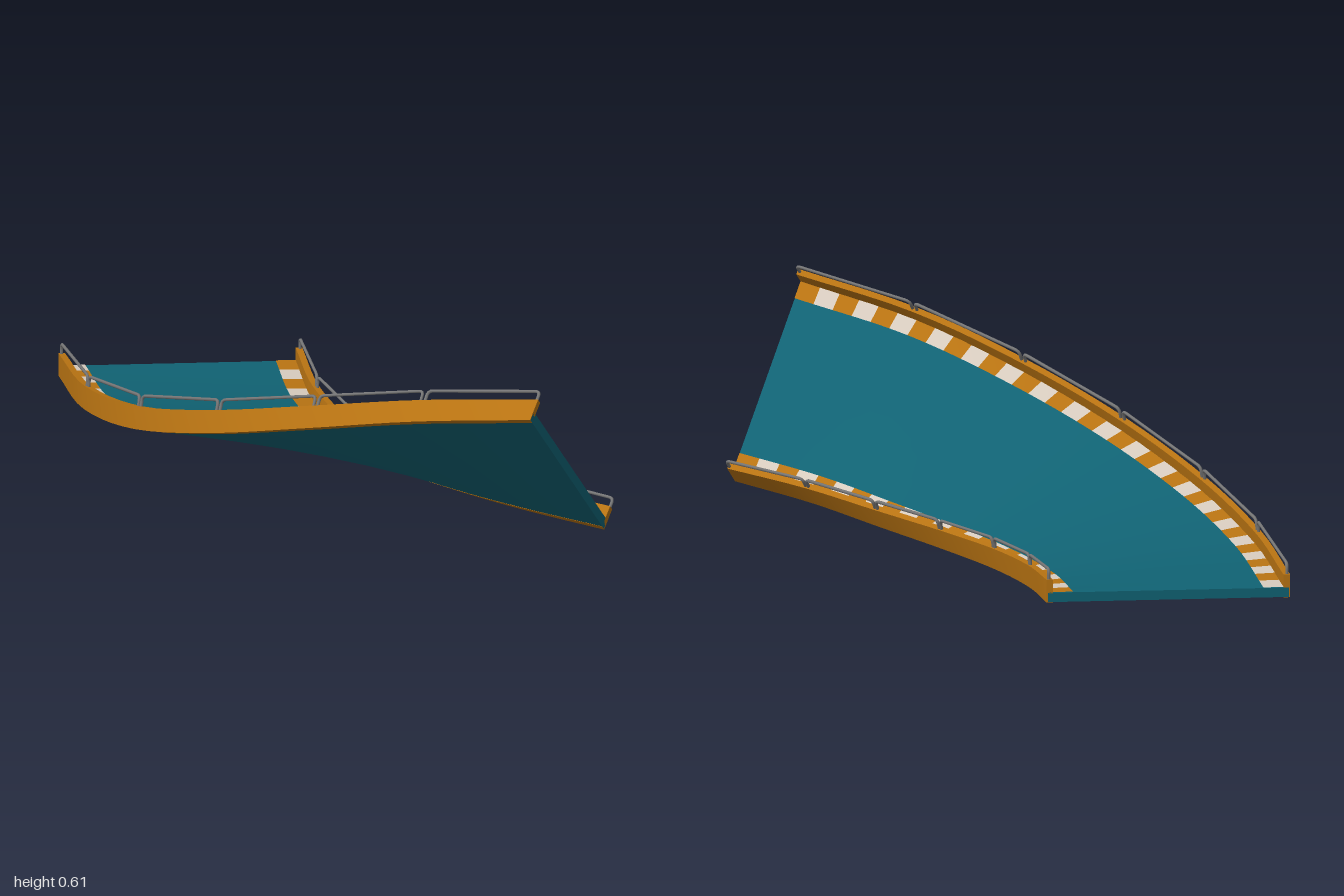
import * as THREE from 'three';
import { mergeGeometries } from 'three/addons/utils/BufferGeometryUtils.js';

const teal = new THREE.MeshStandardMaterial({ color: 0x106273 });
const orange = new THREE.MeshStandardMaterial({ color: 0xb87312 });
const cream = new THREE.MeshStandardMaterial({ color: 0xd6cabd });
const steel = new THREE.MeshStandardMaterial({ color: 0x777777 });

// Edge curves of a 60 degree bend: one [radius, height] knot every 10 degrees
const edge = (knots) => new THREE.CatmullRomCurve3(knots.map(([r, y], i) => {
  const a = THREE.MathUtils.degToRad(i * 10);
  return new THREE.Vector3(1.64 - r * Math.cos(a), y, -1 + r * Math.sin(a));
}));
const outer = edge([[2.42, 0.04], [2.41, 0.075], [2.395, 0.145], [2.36, 0.25], [2.32, 0.365], [2.3, 0.47], [2.3, 0.545]]);
const inner = edge([[1.69, 0.04], [1.69, 0.015], [1.69, 0.001], [1.68, 0.001], [1.683, 0.012], [1.725, 0.03], [1.795, 0.045]]);

// Point on the banked cross-section: f = 0 outer to 1 inner edge, d = offset across, n = offset up
const middle = (t) => outer.getPoint(t).lerp(inner.getPoint(t), 0.5);
function at(t, [f, d, n]) {
  const a = outer.getPoint(t), b = inner.getPoint(t);
  const across = b.clone().sub(a).normalize();
  const along = middle(Math.min(1, t + 0.01)).sub(middle(Math.max(0, t - 0.01)));
  const up = along.cross(across).normalize();
  return a.lerp(b, f).addScaledVector(across, d).addScaledVector(up, n);
}

function surface(points, index) {
  const g = new THREE.BufferGeometry().setFromPoints(points);
  g.setIndex(index);
  g.computeVertexNormals();
  return g;
}

// Ribbon between two cross-section points, running from t0 to t1
function strip(a, b, t0, t1, steps) {
  const pts = [], idx = [];
  for (let i = 0; i <= steps; i++) {
    const t = t0 + (t1 - t0) * i / steps;
    pts.push(at(t, a), at(t, b));
    if (i < steps) {
      const k = i * 2;
      idx.push(k, k + 1, k + 3, k, k + 3, k + 2);
    }
  }
  return surface(pts, idx);
}

// Four-cornered section swept along the bend, with end caps
function sweep(p) {
  const sides = p.map((a, i) => strip(a, p[(i + 1) % 4], 0, 1, 30));
  const start = surface(p.map((q) => at(0, q)), [0, 2, 1, 0, 3, 2]);
  const end = surface(p.map((q) => at(1, q)), [0, 1, 2, 0, 2, 3]);
  return mergeGeometries([...sides, start, end]);
}

// One guard-rail hoop: two posts and a straight bar with rounded corners
function hoop(t0, t1, f, d) {
  const base0 = at(t0, [f, d, 0.06]), base1 = at(t1, [f, d, 0.06]);
  const top0 = at(t0, [f, d, 0.102]), top1 = at(t1, [f, d, 0.102]);
  const toward = (a, b) => a.clone().addScaledVector(b.clone().sub(a).normalize(), 0.016);
  const path = new THREE.CurvePath();
  const a = toward(top0, base0), b = toward(top0, top1), c = toward(top1, top0), e = toward(top1, base1);
  path.add(new THREE.LineCurve3(base0, a));
  path.add(new THREE.QuadraticBezierCurve3(a, top0, b));
  path.add(new THREE.LineCurve3(b, c));
  path.add(new THREE.QuadraticBezierCurve3(c, top1, e));
  path.add(new THREE.LineCurve3(e, base1));
  return new THREE.TubeGeometry(path, 60, 0.005, 6);
}

export function createModel() {
  const model = new THREE.Group();
  const add = (name, geometry, material) => {
    const mesh = new THREE.Mesh(geometry, material);
    mesh.name = name;
    model.add(mesh);
  };

  // Banked road deck
  add('roadDeck', sweep([[0, 0.004, 0.001], [1, -0.004, 0.001], [1, -0.004, 0.03], [0, 0.004, 0.03]]), teal);

  const borders = [
    { name: 'outer', f: 0, sign: 1, stripes: 36, first: 0 },
    { name: 'inner', f: 1, sign: -1, stripes: 25, first: 1 },
  ];
  for (const { name, f, sign, stripes, first } of borders) {
    // Side beam
    const [lo, hi] = sign > 0 ? [0, 0.02] : [-0.02, 0];
    add(name + 'Beam', sweep([[f, lo, 0], [f, hi, 0], [f, hi, 0.07], [f, lo, 0.07]]), orange);

    // Alternating kerb stripes
    const [s0, s1] = sign > 0 ? [0.02, 0.08] : [-0.08, -0.02];
    const sets = [[], []];
    for (let i = 0; i < stripes; i++) {
      sets[(i + first) % 2].push(strip([f, s1, 0.032], [f, s0, 0.032], i / stripes, (i + 1) / stripes, 2));
    }
    add(name + 'LightStripes', mergeGeometries(sets[0]), cream);
    add(name + 'OrangeStripes', mergeGeometries(sets[1]), orange);

    // Guard rail of six hoops
    const hoops = [];
    for (let i = 0; i < 6; i++) hoops.push(hoop((i + 0.02) / 6, (i + 0.98) / 6, f, sign * 0.008));
    add(name + 'GuardRail', mergeGeometries(hoops), steel);
  }
  return model;
}
